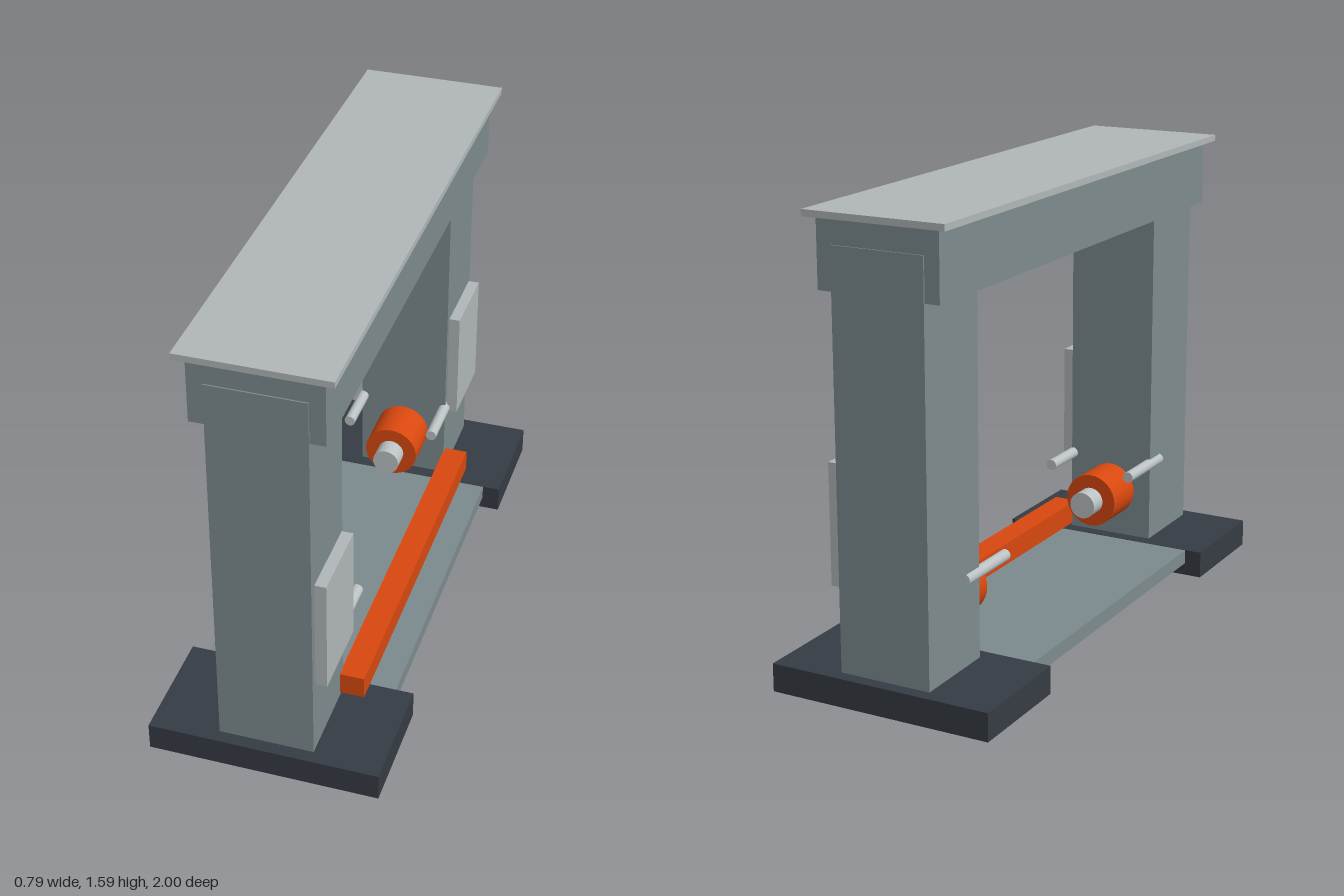
import * as THREE from 'three';

const mat = (name, color) => {
  const m = new THREE.MeshStandardMaterial({ color });
  m.name = name;
  return m;
};

export function createModel() {
  const group = new THREE.Group();
  const steel = mat('grey green paint', 0x7d8b8e);
  const dark = mat('dark base', 0x363c44);
  const orange = mat('orange paint', 0xd9480f);
  const plate = mat('light grey', 0xb1b7b9);
  const metal = mat('bright metal', 0xbcc2c3);

  // Box given by its lower and upper limits on each axis
  const box = (name, m, [x0, x1], [y0, y1], [z0, z1]) => {
    const mesh = new THREE.Mesh(new THREE.BoxGeometry(x1 - x0, y1 - y0, z1 - z0), m);
    mesh.position.set((x0 + x1) / 2, (y0 + y1) / 2, (z0 + z1) / 2);
    mesh.name = name;
    group.add(mesh);
  };

  // Cylinder lying along z
  const rod = (name, m, r, x, y, z0, z1, sides = 32) => {
    const geo = new THREE.CylinderGeometry(r, r, Math.abs(z1 - z0), sides).rotateX(Math.PI / 2);
    const mesh = new THREE.Mesh(geo, m);
    mesh.position.set(x, y, (z0 + z1) / 2);
    mesh.name = name;
    group.add(mesh);
  };

  // Span between the two ends
  box('floorPlate', steel, [-0.335, 0.335], [0.045, 0.096], [-0.65, 0.65]);
  box('crossBeam', steel, [-0.215, 0.215], [1.335, 1.565], [-0.95, 0.95]);
  box('topCap', plate, [-0.25, 0.25], [1.563, 1.585], [-0.976, 0.976]);
  box('sideRail', orange, [0.16, 0.247], [0.108, 0.188], [-0.67, 0.67]);

  // Mirrored ends
  for (const s of [1, -1]) {
    const zr = (a, b) => (s > 0 ? [a, b] : [-b, -a]);
    box('base', dark, [-0.397, 0.397], [0, 0.097], zr(0.592, 1));
    box('column', steel, [-0.163, 0.163], [0.09, 1.48], zr(0.64, 0.955));
    box('sidePanel', plate, [0.166, 0.205], [0.378, 0.787], zr(0.654, 0.935));
    rod('spindleHousing', orange, 0.098, 0, 0.272, s * 0.475, s * 0.645);
    rod('spindleNose', metal, 0.049, 0, 0.272, s * 0.405, s * 0.48);
    for (const x of [-0.158, 0.158]) rod('guideRod', metal, 0.02, x, 0.39, s * 0.46, s * 0.725, 16);
  }
  return group;
}
